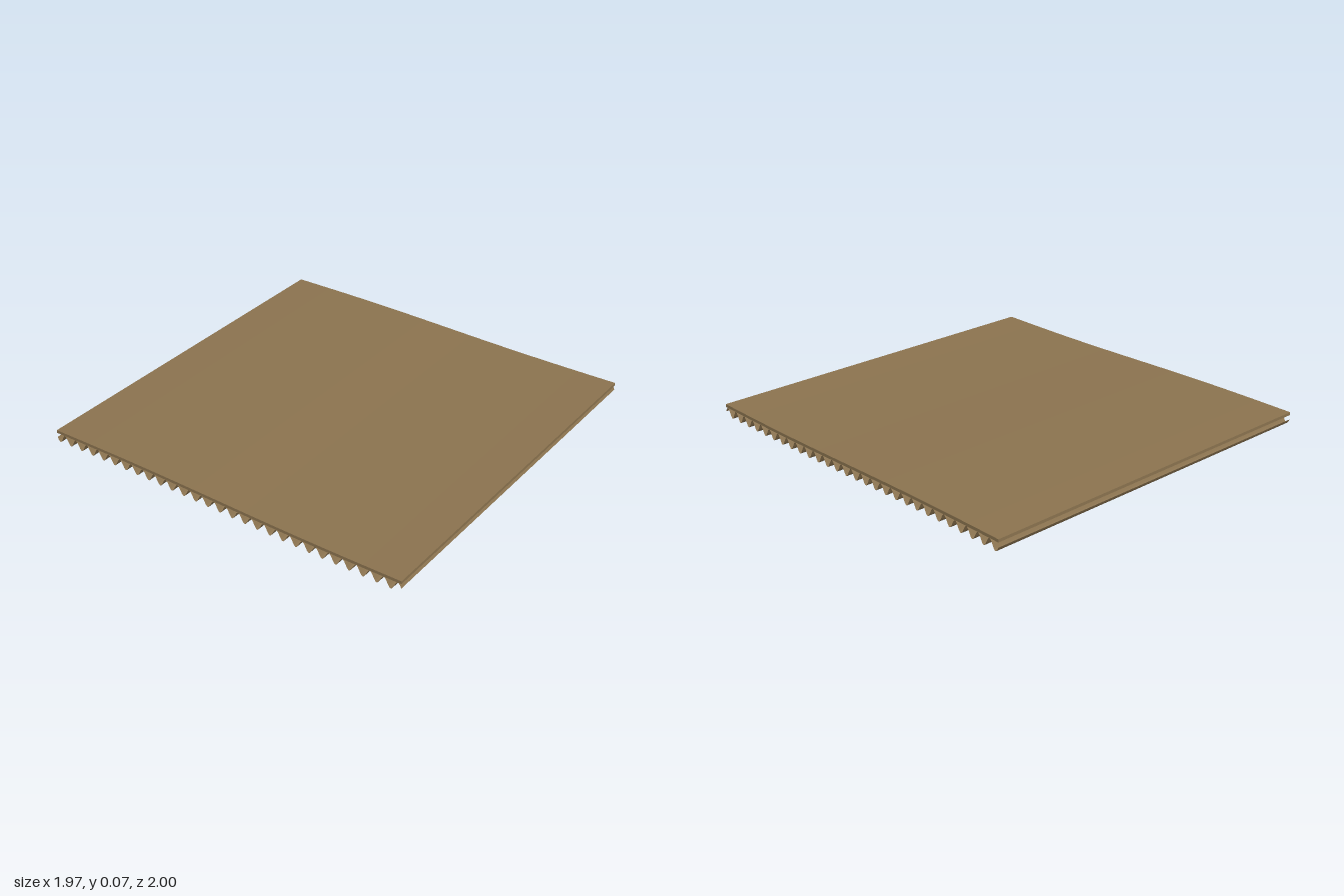
import * as THREE from 'three';

const WIDTH = 1.97, DEPTH = 2;
const FLUTES = 28, SEGMENTS_PER_FLUTE = 10;

// gentle lengthwise warp shared by the sheet and its corrugation
const warp = z => -0.005 * Math.sin(Math.PI * z);

// height of the wavy layer, starting at mid height on the front edge
const fluteHeight = z => 0.0285 + 0.0235 * Math.sin(FLUTES * Math.PI * (1 - z));

// raise every vertex by a rule that depends on z
function raise(geometry, rule) {
  const p = geometry.attributes.position;
  for (let i = 0; i < p.count; i++) p.setY(i, p.getY(i) + rule(p.getZ(i)));
  geometry.computeVertexNormals();
  return geometry;
}

function addPart(group, name, geometry, material) {
  const mesh = new THREE.Mesh(geometry, material);
  mesh.name = name;
  group.add(mesh);
}

export function createModel() {
  const group = new THREE.Group();
  group.name = 'corrugatedCardboard';

  const cardboard = new THREE.MeshStandardMaterial({ color: 0x8b734f, side: THREE.DoubleSide });
  cardboard.name = 'cardboard brown';

  // solid flat liner on top
  const liner = new THREE.BoxGeometry(WIDTH, 0.015, DEPTH, 1, 1, 40);
  addPart(group, 'topLiner', raise(liner, z => 0.0595 + warp(z)), cardboard);

  // thin wavy layer below, with ridges running from side to side
  const flutes = new THREE.PlaneGeometry(WIDTH, DEPTH, 1, FLUTES * SEGMENTS_PER_FLUTE);
  flutes.rotateX(-Math.PI / 2);
  addPart(group, 'corrugatedLayer', raise(flutes, z => fluteHeight(z) + warp(z)), cardboard);

  return group;
}
